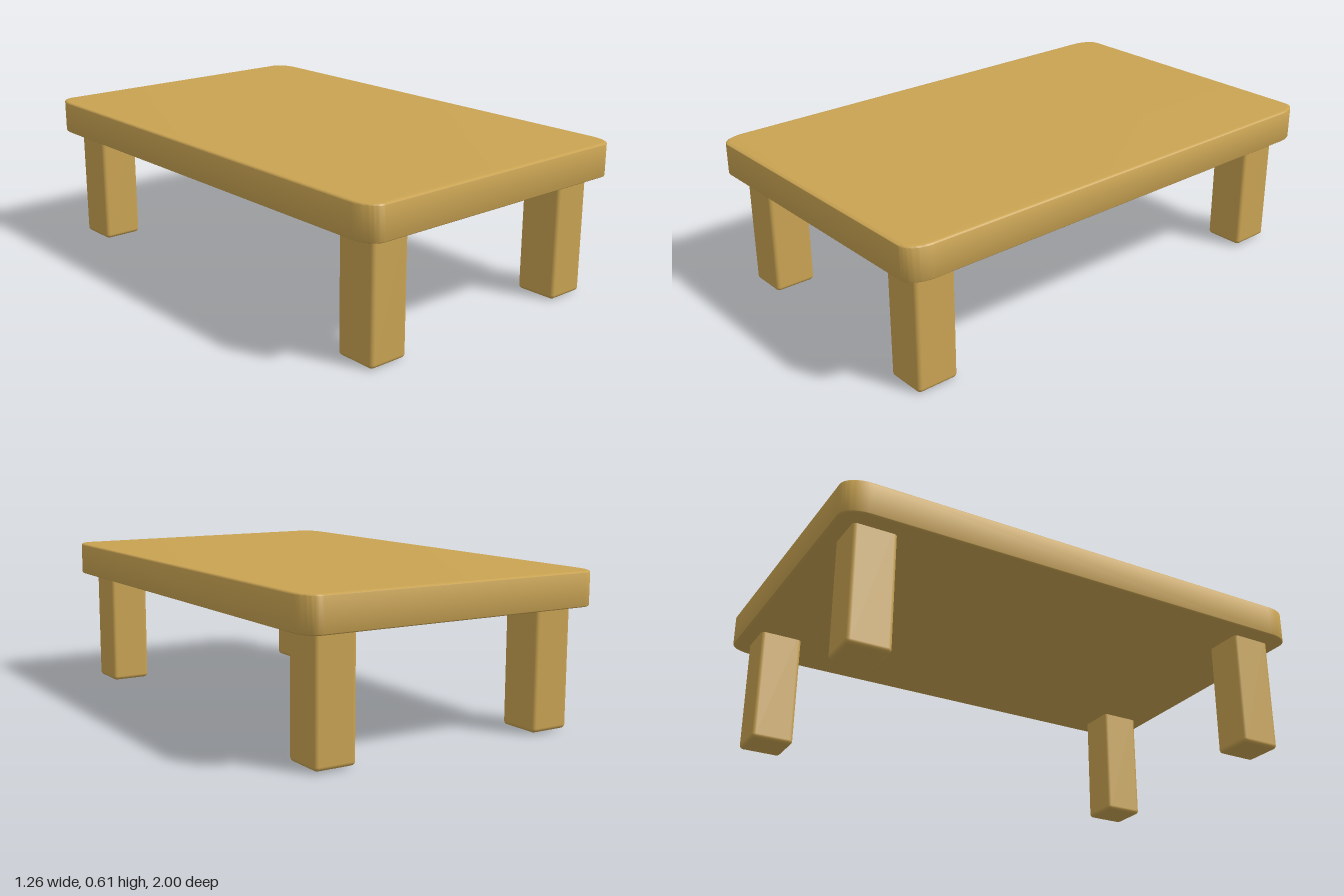
import * as THREE from 'three';
import { toCreasedNormals } from 'three/addons/utils/BufferGeometryUtils.js';
import { RoundedBoxGeometry } from 'three/addons/geometries/RoundedBoxGeometry.js';

// Rectangle with elliptical corners (half sizes hx, hy; corner radii rx, ry)
function roundedOutline(hx, hy, rx, ry) {
  const shape = new THREE.Shape();
  const corners = [[1, 1], [-1, 1], [-1, -1], [1, -1]];
  corners.forEach(([sx, sy], i) => {
    const start = i * Math.PI / 2;
    const cx = sx * (hx - rx), cy = sy * (hy - ry);
    const x = cx + rx * Math.cos(start), y = cy + ry * Math.sin(start);
    if (i === 0) shape.moveTo(x, y); else shape.lineTo(x, y);
    shape.absellipse(cx, cy, rx, ry, start, start + Math.PI / 2, false);
  });
  shape.closePath();
  return shape;
}

export function createModel() {
  const table = new THREE.Group();
  table.name = 'table';
  const wood = new THREE.MeshStandardMaterial({ color: 0xc9a352 });

  // Slab top with softened edges
  const bottom = 0.476, top = 0.61, bevel = 0.006, inset = 0.015;
  const slab = new THREE.ExtrudeGeometry(roundedOutline(0.628 - inset, 1 - inset, 0.05, 0.085), {
    depth: top - bottom - 2 * bevel,
    bevelThickness: bevel,
    bevelSize: inset,
    bevelSegments: 4,
    curveSegments: 8,
  });
  slab.rotateX(-Math.PI / 2);
  slab.translate(0, bottom + bevel, 0);
  const tableTop = new THREE.Mesh(toCreasedNormals(slab, 0.7), wood);
  tableTop.name = 'tableTop';
  table.add(tableTop);

  // Four square legs, reaching a little into the slab
  const legTop = 0.51;
  for (const [end, z, foot] of [['front', 0.85, 0.004], ['back', -0.85, 0.011]]) {
    for (const [side, x] of [['Left', 0.473], ['Right', -0.473]]) {
      const height = legTop - foot;
      const leg = new THREE.Mesh(new RoundedBoxGeometry(0.164, height, 0.171, 3, 0.016), wood);
      leg.position.set(x, foot + height / 2, z);
      leg.name = `${end}${side}Leg`;
      table.add(leg);
    }
  }
  return table;
}
